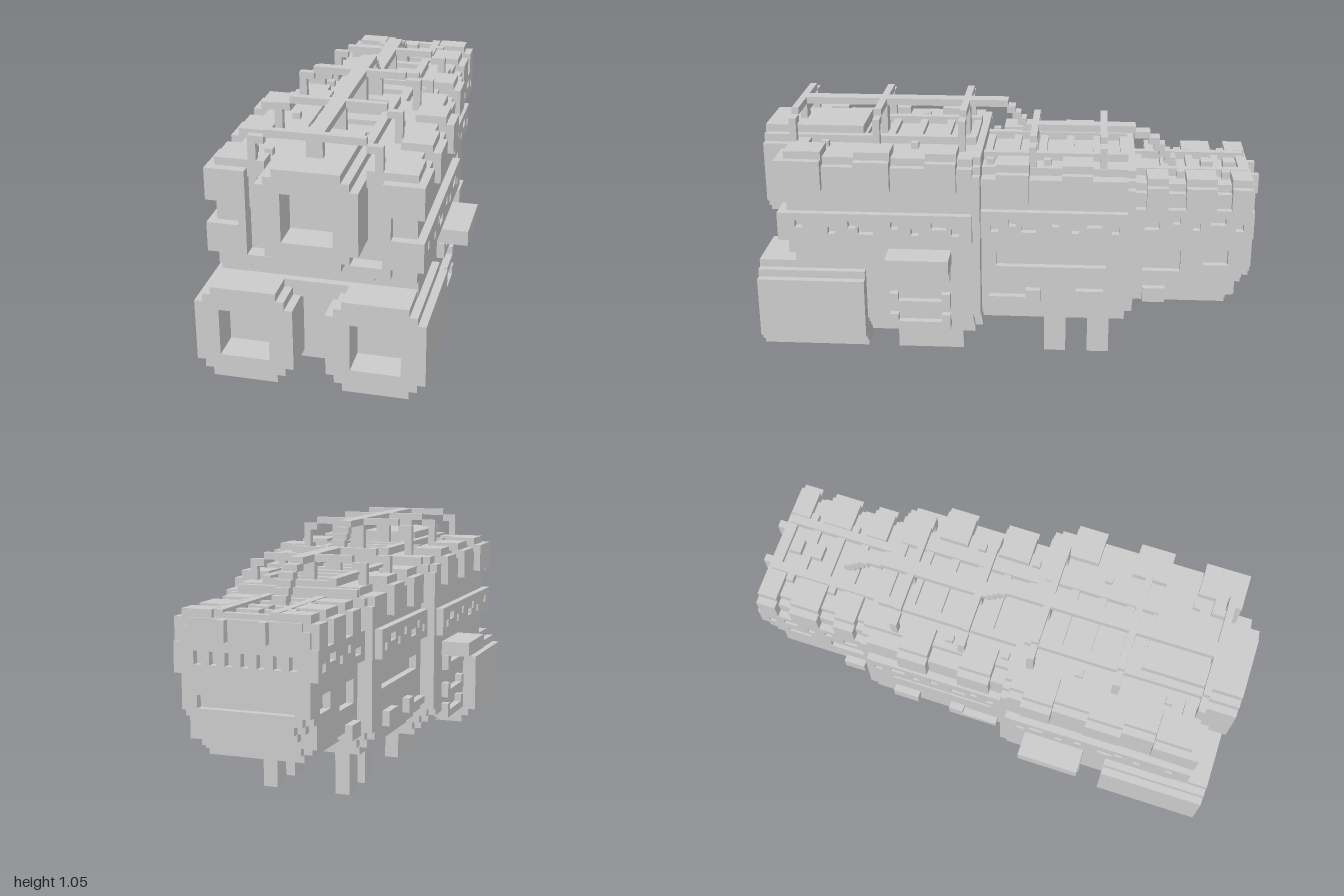
import * as THREE from 'three';

const U = 0.031; // one block unit
const material = new THREE.MeshStandardMaterial({ color: 0xcccccc, flatShading: true });

export function createModel() {
  const root = new THREE.Group();
  const add = (name, geo) => {
    const mesh = new THREE.Mesh(geo, material);
    mesh.name = name;
    root.add(mesh);
  };
  // box given by its ranges along x, y and z
  const box = (name, x0, x1, y0, y1, z0, z1) => {
    const g = new THREE.BoxGeometry(x1 - x0, y1 - y0, z1 - z0);
    add(name, g.translate((x0 + x1) / 2, (y0 + y1) / 2, (z0 + z1) / 2));
  };
  const pair = (name, x0, x1, ...r) => {
    box(name, x0, x1, ...r);
    box(name, -x1, -x0, ...r);
  };
  const rect = (a0, a1, b0, b1, C = THREE.Path) => {
    const p = new C();
    p.moveTo(a0, b0).lineTo(a1, b0).lineTo(a1, b1).lineTo(a0, b1).closePath();
    return p;
  };
  const extrude = (shape, depth) => new THREE.ExtrudeGeometry(shape, { depth, bevelEnabled: false });

  // outline with stair-stepped corners: nb steps at the bottom, nt at the top
  const stepped = (x0, x1, y0, y1, nb, nt, holes = []) => {
    const half = [];
    for (let i = nb; i > 0; i--) half.push([i * U, y0 + (nb - i) * U], [i * U, y0 + (nb - i + 1) * U]);
    half.push([0, y0 + nb * U], [0, y1 - nt * U]);
    for (let i = 1; i <= nt; i++) half.push([i * U, y1 - (nt - i + 1) * U], [i * U, y1 - (nt - i) * U]);
    // top steps run inward as they rise
    const top = half.splice(half.length - 2 * nt, 2 * nt);
    for (let i = 1; i <= nt; i++) half.push([i * U, y1 - (nt - i + 1) * U], [i * U, y1 - (nt - i) * U]);
    const pts = half.map(([d, y]) => new THREE.Vector2(x1 - d, y));
    pts.push(...half.reverse().map(([d, y]) => new THREE.Vector2(x0 + d, y)));
    const s = new THREE.Shape(top.length >= 0 ? pts : []);
    s.holes.push(...holes);
    return s;
  };
  const hull = (name, w, y0, y1, nb, nt, z0, z1) =>
    add(name, extrude(stepped(-w, w, y0, y1, nb, nt), z1 - z0).translate(0, 0, z0));

  // side plating on both flanks, with rectangular cut-outs [z0, z1, y0, y1]
  const plating = (name, x, z0, z1, y0, y1, cuts) => {
    for (const shift of [x, -x + U]) {
      const s = rect(z0, z1, y0, y1, THREE.Shape);
      cuts.forEach(c => s.holes.push(rect(...c)));
      add(name, extrude(s, U).rotateY(-Math.PI / 2).translate(shift, 0, 0));
    }
  };
  const ports = zs => zs.map((z, i) => [z, z + (i % 3 === 1 ? 0.06 : 0.03), 0.595 + (i % 2) * 0.025, 0.625 + (i % 2) * 0.025]);

  // three hull sections, stepping down toward the nose
  hull('rearHull', 0.37, 0.125, 0.895, 3, 1, 0.14, 0.85);
  hull('rearCollar', 0.37, 0.155, 0.895, 3, 2, 0.11, 0.14);
  hull('middleHull', 0.28, 0.185, 0.835, 1, 1, -0.47, 0.14);
  hull('noseCollar', 0.31, 0.22, 0.83, 2, 2, -0.50, -0.47);
  hull('noseHull', 0.22, 0.25, 0.77, 1, 0, -0.88, -0.47);
  hull('noseStep', 0.25, 0.28, 0.77, 2, 1, -0.91, -0.88);
  hull('noseTip', 0.25, 0.34, 0.77, 2, 1, -0.94, -0.91);

  // nose face with a long slot and a row of small ports
  const noseHoles = [rect(-0.19, 0.19, 0.44, 0.49)];
  for (let i = -3; i <= 3; i++) noseHoles.push(rect(i * 0.062 - 0.015, i * 0.062 + 0.015, 0.6, 0.65));
  add('noseFace', extrude(stepped(-0.25, 0.25, 0.37, 0.77, 2, 1, noseHoles), U).translate(0, 0, -0.97));
  pair('noseProng', 0.065, 0.095, 0.69, 0.77, -1, -0.95);

  // belts with small ports
  plating('rearBelt', 0.40, 0.14, 0.88, 0.565, 0.68, ports([0.19, 0.24, 0.35, 0.43, 0.53, 0.6, 0.68, 0.81]));
  plating('middleBelt', 0.34, -0.47, 0.11, 0.565, 0.68, ports([-0.44, -0.37, -0.28, -0.2, -0.11, -0.03, 0.04]));
  plating('noseBelt', 0.28, -0.97, -0.5, 0.565, 0.68, ports([-0.93, -0.86, -0.76, -0.68, -0.6]));

  // flank plating with recessed panels and raised bars
  plating('middlePlating', 0.31, -0.47, 0.11, 0.25, 0.804, [[-0.39, 0.05, 0.435, 0.495]]);
  plating('nosePlating', 0.25, -0.91, -0.5, 0.31, 0.739, [[-0.69, -0.54, 0.405, 0.5], [-0.88, -0.78, 0.435, 0.5]]);
  pair('noseLowerBar', 0.2, 0.28, 0.28, 0.34, -0.63, -0.54);
  pair('middleLowerBar', 0.27, 0.34, 0.285, 0.315, -0.13, 0.08);
  pair('middleLowerBarEnd', 0.27, 0.34, 0.285, 0.345, -0.13, -0.07);
  pair('middleLowerBlock', 0.27, 0.34, 0.285, 0.345, -0.38, -0.27);

  // rear flank grilles and fins
  for (const y of [0.19, 0.28, 0.40]) {
    pair('grilleBar', 0.34, 0.40, y, y + U, 0.23, 0.475);
    pair('grilleEnd', 0.34, 0.40, y, y + 2 * U, 0.23, 0.265);
    pair('grilleEnd', 0.34, 0.40, y, y + 2 * U, 0.44, 0.475);
  }
  pair('sideFin', 0.36, 0.49, 0.465, 0.525, 0.225, 0.475);

  // clamp blocks along the roof edges
  const clamps = [
    [0.40, 0.775, 0.925, [[0.73, 0.85], [0.46, 0.6], [0.2, 0.32]]],
    [0.34, 0.715, 0.865, [[-0.08, 0.05], [-0.33, -0.21]]],
    [0.28, 0.68, 0.80, [[-0.63, -0.545], [-0.82, -0.7], [-0.96, -0.88]]],
  ];
  for (const [x, y0, y1, spans] of clamps) for (const [z0, z1] of spans) {
    pair('clampSide', x - 0.15, x, y0, y1 - U, z0, z1);
    pair('clampTop', x - 0.15, x - U, y0, y1, z0, z1);
  }

  // stern frame around the upper engine
  pair('sternPost', 0.25, 0.37, 0.5, 0.925, 0.8, 0.875);
  pair('sternLintel', 0.185, 0.25, 0.86, 0.925, 0.8, 0.875);
  pair('sternBlock', 0.25, 0.40, 0.77, 0.895, 0.84, 0.91);
  pair('sternBlock', 0.25, 0.40, 0.565, 0.68, 0.84, 0.91);
  pair('sternWeb', 0.25, 0.28, 0.56, 0.895, 0.84, 0.91);
  box('sternSill', -0.28, 0.28, 0.525, 0.565, 0.8, 0.91);
  box('sternSill', -0.215, 0.215, 0.495, 0.525, 0.8, 0.88);

  // engines: stepped block with a square nozzle opening
  const engine = (name, cx, cy, z0) => {
    const w = 0.185;
    const outline = holes => stepped(cx - w, cx + w, cy - w, cy + w, 2, 2, holes);
    const mouth = rect(cx - 0.094, cx + 0.094, cy - 0.094, cy + 0.094);
    add(name + 'Body', extrude(outline([]), 0.88 - z0).translate(0, 0, z0));
    add(name + 'Nozzle', extrude(outline([mouth]), 0.12).translate(0, 0, 0.88));
  };
  engine('upperEngine', 0, 0.771, 0.6);
  engine('leftEngine', 0.245, 0.28, 0.57);
  engine('rightEngine', -0.245, 0.28, 0.57);
  box('engineBridge', -0.2, 0.2, 0.4, 0.465, 0.8, 0.88);

  // landing legs
  for (const [z0, z1] of [[0.2, 0.475], [-0.23, -0.14], [-0.41, -0.32]])
    pair('leg', 0.125, 0.185, 0, 0.22, z0, z1);

  // roof deck: edge strips and rungs for each section
  const decks = [[0.895, 0.14, 0.62, 0.155, 4], [0.835, -0.47, 0.11, 0.155, 5], [0.77, -0.95, -0.5, 0.125, 4]];
  for (const [y, z0, z1, x, n] of decks) {
    pair('deckStrip', x - 0.035, x, y - 0.03, y + U, z0, z1);
    for (let i = 0; i <= n; i++) {
      const z = z0 + (z1 - z0 - U) * i / n;
      box('deckRung', 0.035 - x, x - 0.035, y - 0.03, y + 0.02, z, z + U);
    }
  }
  for (const [z, y] of [[-0.86, 0.8], [-0.68, 0.8], [-0.15, 0.86], [0.08, 0.86], [0.38, 0.92], [0.74, 0.92]])
    pair('roofStud', y > 0.81 ? 0.19 : 0.125, y > 0.81 ? 0.22 : 0.155, y - 0.07, y, z - 0.015, z + 0.015);
  for (const z of [-0.89, -0.8, -0.65])
    box('noseVent', -0.03, 0.03, 0.76, 0.80, z - 0.02, z + 0.03);

  // overhead rail: central beam, stepped ramps, cross bars on posts
  const beam = (y, z0, z1) => box('railBeam', -0.03, 0.03, y, y + 0.028, z0, z1);
  beam(1.018, 0.02, 0.875);
  beam(0.918, -0.5, -0.04);
  for (let i = 0; i < 3; i++) beam(0.993 - i * 0.025, -0.01 - i * 0.022, 0.025 - i * 0.022);
  beam(0.895, -0.56, -0.495);
  for (let i = 0; i < 4; i++) beam(0.87 - i * 0.027, -0.6 - i * 0.022, -0.555 - i * 0.022);
  const arch = (z, top, w, base) => {
    box('railCrossBar', -w + 0.06, w - 0.06, top - 0.028, top, z, z + 0.028);
    pair('railShoulder', w - 0.06, w, top - 0.055, top - 0.027, z, z + 0.028);
    pair('railPost', w - 0.03, w, base, top - 0.028, z, z + 0.028);
    box('railCentrePost', -0.03, 0.03, base, top - 0.02, z, z + 0.028);
  };
  arch(0.847, 1.046, 0.245, 0.74);
  for (const z of [0.515, 0.175]) arch(z, 1.046, 0.245, 0.85);
  for (const z of [-0.105, -0.385]) arch(z, 0.946, 0.245, 0.8);
  return root;
}
